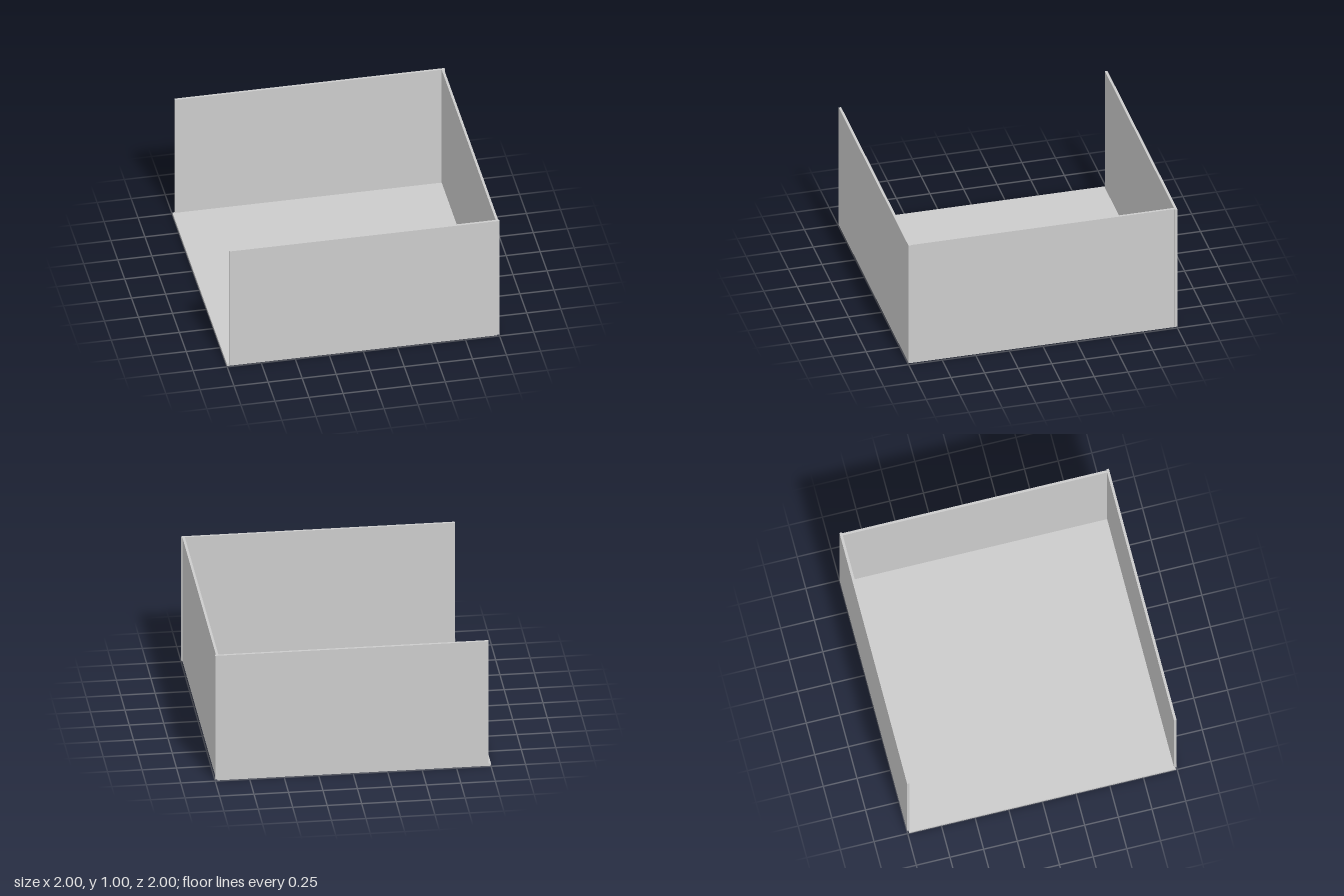
import * as THREE from 'three';

export function createModel() {
  const model = new THREE.Group();
  const material = new THREE.MeshStandardMaterial({ color: 0xcccccc });

  // Adds a flat panel spanning two opposite corners
  function panel(name, min, max) {
    const size = max.map((v, i) => v - min[i]);
    const mesh = new THREE.Mesh(new THREE.BoxGeometry(...size), material);
    mesh.position.set(...max.map((v, i) => (v + min[i]) / 2));
    mesh.name = name;
    model.add(mesh);
  }

  // Floor, slightly inset under the walls
  panel('floor', [-1, 0, -0.99], [0.983, 0.019, 0.99]);

  // Long walls at the front and back
  panel('frontWall', [-0.983, 0.012, 0.981], [1, 1, 1]);
  panel('backWall', [-0.983, 0.012, -1], [1, 1, -0.981]);

  // Closing wall on the left; the opposite side stays open
  panel('leftWall', [0.975, 0.012, -0.99], [0.993, 1, 0.99]);

  return model;
}
